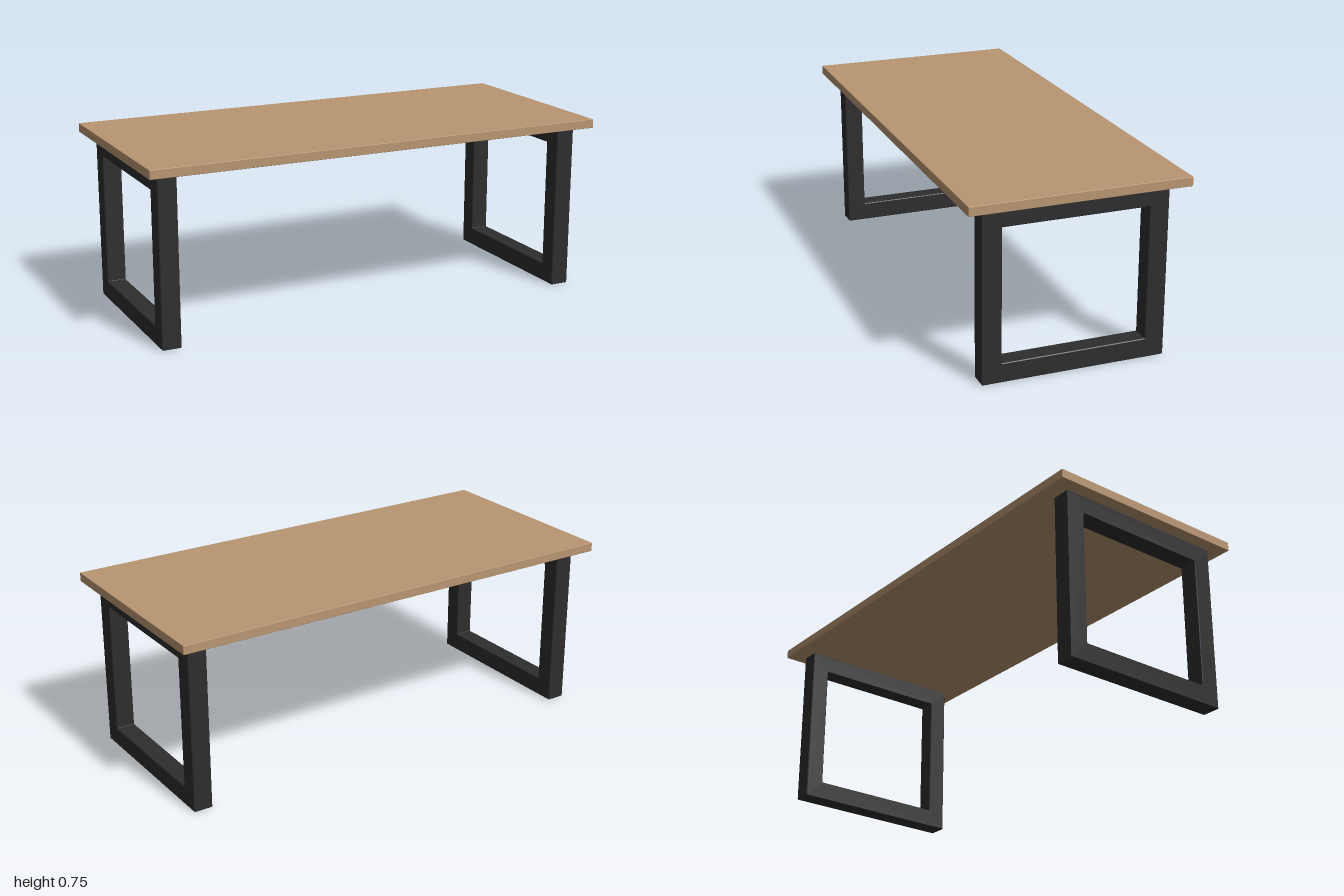
import * as THREE from 'three';
import { RoundedBoxGeometry } from 'three/addons/geometries/RoundedBoxGeometry.js';

const EDGE = 0.003; // softened edge radius

// Rectangle with slightly rounded corners, traced onto a Shape or Path
function traceRect(path, w, y0, y1, r) {
  path.absarc(w - r, y0 + r, r, -Math.PI / 2, 0);
  path.absarc(w - r, y1 - r, r, 0, Math.PI / 2);
  path.absarc(-w + r, y1 - r, r, Math.PI / 2, Math.PI);
  path.absarc(-w + r, y0 + r, r, Math.PI, Math.PI * 1.5);
  path.closePath();
  return path;
}

export function createModel() {
  const model = new THREE.Group();
  model.name = 'table';

  const wood = new THREE.MeshStandardMaterial({ color: 0xb99672 });
  wood.name = 'wood';
  const blackMetal = new THREE.MeshStandardMaterial({ color: 0x2d2d2d });
  blackMetal.name = 'blackMetal';

  // Flat wooden slab
  const top = new THREE.Mesh(new RoundedBoxGeometry(2, 0.038, 0.9, 2, 0.002), wood);
  top.name = 'tableTop';
  top.position.y = 0.731;
  model.add(top);

  // Closed rectangular leg frame, extruded along x
  const outline = traceRect(new THREE.Shape(), 0.38, 0, 0.712, 0.004);
  outline.holes.push(traceRect(new THREE.Path(), 0.3, 0.08, 0.632, 0.002));
  const frame = new THREE.ExtrudeGeometry(outline, {
    depth: 0.08 - 2 * EDGE,
    bevelEnabled: true,
    bevelThickness: EDGE,
    bevelSize: EDGE,
    bevelOffset: -EDGE,
    bevelSegments: 1,
    curveSegments: 2,
  });
  frame.translate(0, 0, -(0.04 - EDGE));
  frame.rotateY(Math.PI / 2);

  // One frame at each end
  for (const side of [-1, 1]) {
    const leg = new THREE.Mesh(frame, blackMetal);
    leg.name = side > 0 ? 'leftLegFrame' : 'rightLegFrame';
    leg.position.x = side * 0.908;
    model.add(leg);
  }

  return model;
}
